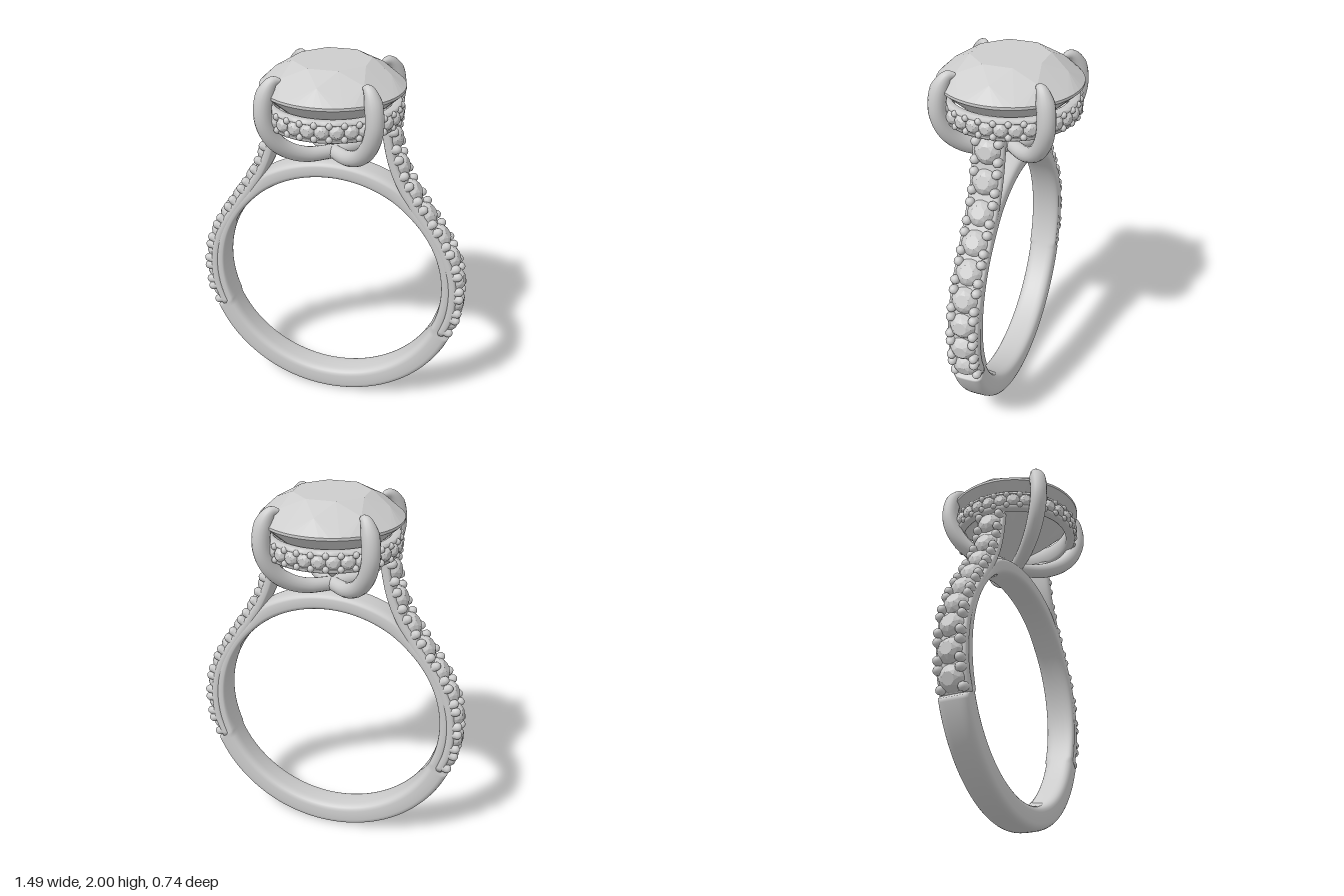
import * as THREE from 'three';
import { toCreasedNormals } from 'three/addons/utils/BufferGeometryUtils.js';
import { ConvexGeometry } from 'three/addons/geometries/ConvexGeometry.js';

const silver = new THREE.MeshStandardMaterial({ color: 0xcccccc });
silver.name = 'silver';

const CENTRE_Y = 0.755, INNER_R = 0.62;
const UP = new THREE.Vector3(0, 1, 0);

function part(name, geometry, parent) {
  const mesh = new THREE.Mesh(geometry, silver);
  mesh.name = name;
  parent.add(mesh);
  return mesh;
}

// Rounded-rectangle band swept through rows of { inner, outer, w } in the xy plane
function loft(rows, closed) {
  const S = 28, pos = [], index = [];
  const pow = v => Math.sign(v) * Math.pow(Math.abs(v), 0.55);
  for (const { inner, outer, w } of rows) {
    for (let j = 0; j < S; j++) {
      const a = (j / S) * Math.PI * 2, k = (1 + pow(Math.cos(a))) / 2;
      pos.push(inner.x + (outer.x - inner.x) * k, inner.y + (outer.y - inner.y) * k, w * pow(Math.sin(a)));
    }
  }
  const n = rows.length;
  for (let i = 0; i < (closed ? n : n - 1); i++) {
    for (let j = 0; j < S; j++) {
      const i2 = (i + 1) % n, j2 = (j + 1) % S;
      const a = i * S + j, b = i2 * S + j, c = i2 * S + j2, d = i * S + j2;
      index.push(a, b, d, b, c, d);
    }
  }
  const g = new THREE.BufferGeometry();
  g.setAttribute('position', new THREE.Float32BufferAttribute(pos, 3));
  g.setIndex(index);
  g.computeVertexNormals();
  return g;
}

// Faceted stone as the hull of rings of points: [radius, y, count, turn]
function stone(rings) {
  const pts = [];
  for (const [r, y, count, turn] of rings) {
    for (let i = 0; i < count; i++) {
      const a = ((i + turn) / count) * Math.PI * 2;
      pts.push(new THREE.Vector3(r * Math.cos(a), y, r * Math.sin(a)));
    }
  }
  return new ConvexGeometry(pts);
}

// Small stone of girdle radius r whose table lies at y = 0
const smallStone = r => stone([
  [r * 0.5, 0, 8, 0.5], [r * 0.8, -r * 0.22, 8, 0], [r, -r * 0.55, 16, 0], [r, -r * 0.65, 16, 0], [0, -r * 1.3, 1, 0],
]);

// Full hoop: thick plain base, thinner sides under the stones, bridge at the top
function hoop() {
  const rows = [], N = 240;
  for (let i = 0; i < N; i++) {
    const a = (i / N) * Math.PI * 2, c = Math.cos(a), s = Math.sin(a);
    const outer = s < -0.37
      ? THREE.MathUtils.mapLinear(s, -0.37, -1, 0.742, 0.755)
      : 0.675 + 0.04 * THREE.MathUtils.smoothstep(s, 0.7, 0.88);
    const at = r => new THREE.Vector2(r * c, CENTRE_Y + r * s);
    rows.push({ inner: at(INNER_R), outer: at(outer), w: 0.083 });
  }
  return loft(rows, true);
}

// Outer line of the stone-set shoulder, from the step up to the halo
const shoulderLine = new THREE.SplineCurve([
  [0.69, 0.48], [0.733, 0.6], [0.745, 0.755], [0.725, 0.9], [0.675, 1.03],
  [0.61, 1.14], [0.525, 1.265], [0.44, 1.4], [0.387, 1.53], [0.352, 1.7],
].map(p => new THREE.Vector2(...p)));

function shoulder() {
  const group = new THREE.Group();
  const at = t => {
    const p = shoulderLine.getPointAt(t), d = shoulderLine.getTangentAt(t);
    return { p, d, n: new THREE.Vector2(d.y, -d.x) };
  };
  const rows = [];
  for (let i = 0; i <= 70; i++) {
    const { p, n } = at(i / 70);
    rows.push({ inner: p.clone().addScaledVector(n, -0.09), outer: p.clone().addScaledVector(n, -0.035), w: 0.083 });
  }
  // close both ends
  for (const end of [0, 70]) {
    const mid = rows[end].inner.clone().lerp(rows[end].outer, 0.5);
    const cap = { inner: mid, outer: mid, w: 0 };
    rows[end].cap = cap;
  }
  part('shoulderBand', loft([rows[0].cap, ...rows, rows[70].cap], false), group);

  const gem = smallStone(0.068), bead = new THREE.CapsuleGeometry(0.024, 0.035, 4, 10);
  const COUNT = 9;
  for (let i = 0; i < COUNT; i++) {
    const { p, d, n } = at((i + 0.5) / COUNT);
    const turn = new THREE.Quaternion().setFromUnitVectors(UP, new THREE.Vector3(n.x, n.y, 0));
    const m = part('shoulderStone', gem, group);
    m.position.set(p.x, p.y, 0);
    m.quaternion.copy(turn);
    // four beads hold each stone
    for (const along of [-0.046, 0.046]) for (const z of [-0.059, 0.059]) {
      const b = part('shoulderBead', bead, group);
      b.position.set(p.x + d.x * along - n.x * 0.042, p.y + d.y * along - n.y * 0.042, z);
      b.quaternion.copy(turn);
    }
  }
  return group;
}

// Ring of small outward-facing stones below the main stone
function halo() {
  const group = new THREE.Group();
  const profile = [
    [0.3, 1.7], [0.31, 1.692], [0.345, 1.692], [0.352, 1.7], [0.352, 1.71], [0.34, 1.718],
    [0.34, 1.774], [0.352, 1.782], [0.352, 1.792], [0.345, 1.8], [0.31, 1.8], [0.3, 1.79], [0.3, 1.7],
  ].map(p => new THREE.Vector2(...p));
  part('haloRail', toCreasedNormals(new THREE.LatheGeometry(profile, 90), 0.9), group);
  const gem = smallStone(0.037), bead = new THREE.SphereGeometry(0.017, 10, 8);
  const COUNT = 30;
  for (let i = 0; i < COUNT; i++) {
    const a = (i / COUNT) * Math.PI * 2, b = a + Math.PI / COUNT;
    const out = new THREE.Vector3(Math.cos(a), 0, Math.sin(a));
    const m = part('haloStone', gem, group);
    m.position.copy(out).multiplyScalar(0.366).setY(1.746);
    m.quaternion.setFromUnitVectors(UP, out);
    for (const y of [1.712, 1.78]) {
      part('haloBead', bead, group).position.set(0.35 * Math.cos(b), y, 0.35 * Math.sin(b));
    }
  }
  return group;
}

// Claw from its pointed tip over the girdle down to the base of the basket
function claw() {
  const path = new THREE.CatmullRomCurve3([
    [0.285, 1.935], [0.335, 1.938], [0.378, 1.88], [0.393, 1.77],
    [0.36, 1.67], [0.285, 1.585], [0.16, 1.525], [0, 1.507],
  ].map(([r, y]) => new THREE.Vector3(r, y, 0)));
  const N = 64, S = 16, g = new THREE.TubeGeometry(path, N, 0.046, S, false);
  const pos = g.attributes.position, v = new THREE.Vector3();
  for (let i = 0; i <= N; i++) {
    const centre = path.getPointAt(i / N);
    const k = Math.max(0.01, Math.pow(Math.min(1, i / N / 0.16), 0.6)) * (1 - 0.2 * Math.max(0, i / N - 0.5) * 2);
    for (let j = 0; j <= S; j++) {
      const q = i * (S + 1) + j;
      v.fromBufferAttribute(pos, q).sub(centre).multiplyScalar(k).add(centre);
      pos.setXYZ(q, v.x, v.y, v.z);
    }
  }
  return g;
}

export function createModel() {
  const ring = new THREE.Group();
  ring.name = 'ring';

  part('hoop', hoop(), ring);
  for (const [name, turn] of [['leftShoulder', 0], ['rightShoulder', Math.PI]]) {
    const s = shoulder();
    s.name = name;
    s.rotation.y = turn;
    ring.add(s);
  }

  const h = halo();
  h.name = 'halo';
  ring.add(h);

  const clawGeometry = claw();
  for (let i = 0; i < 4; i++) {
    part('claw', clawGeometry, ring).rotation.y = Math.PI / 4 + (i * Math.PI) / 2;
  }

  // Main stone: table, crown, girdle, pavilion, point
  part('mainStone', stone([
    [0.2, 2, 8, 0.5], [0.295, 1.945, 8, 0], [0.37, 1.876, 48, 0], [0.37, 1.862, 48, 0],
    [0.2, 1.705, 8, 0.5], [0, 1.54, 1, 0],
  ]), ring);

  return ring;
}
